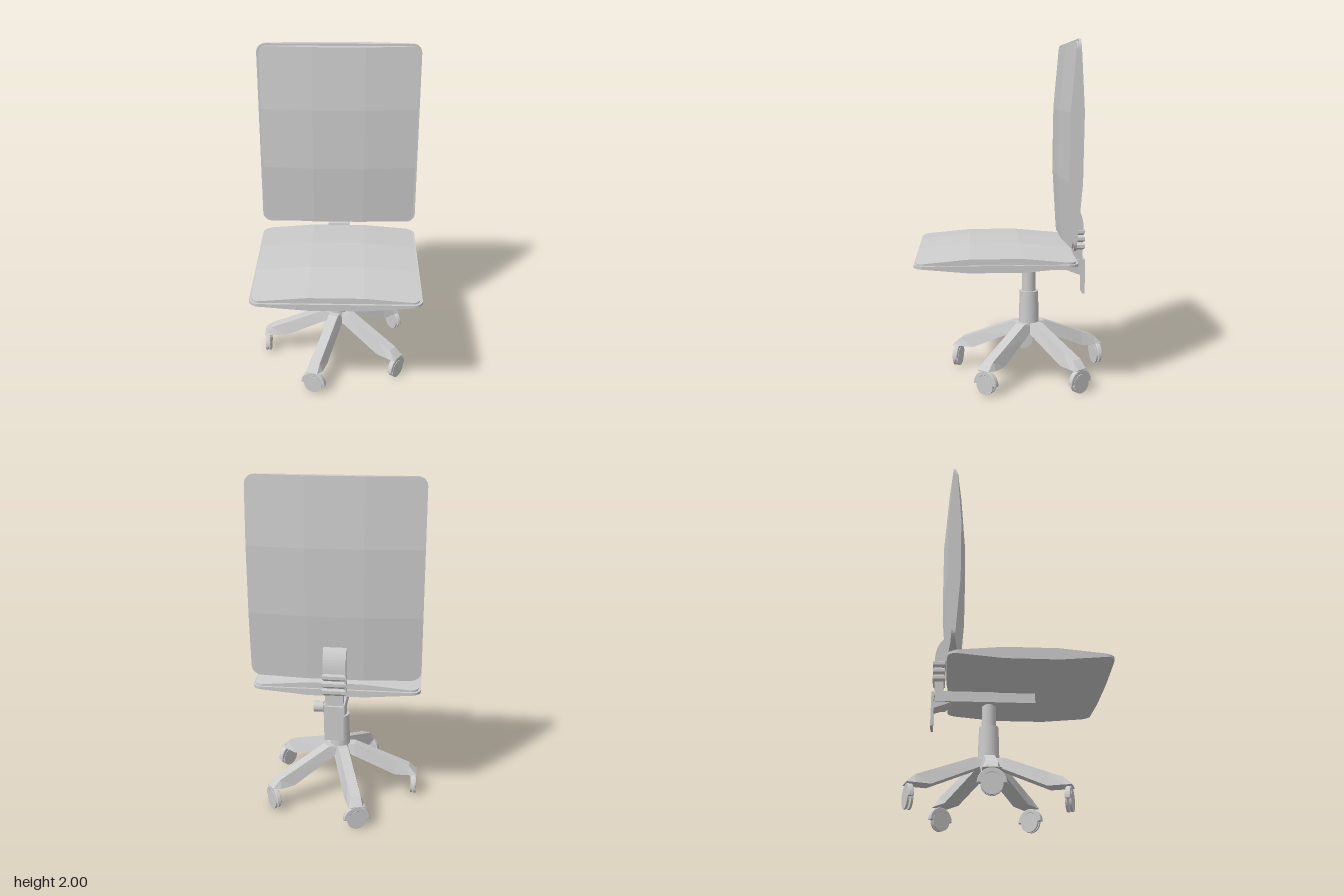
import * as THREE from 'three';

const smooth = new THREE.MeshStandardMaterial({ color: 0xcccccc });
const flat = new THREE.MeshStandardMaterial({ color: 0xcccccc, flatShading: true });

function add(parent, name, geometry, material = smooth, x = 0, y = 0, z = 0) {
  const mesh = new THREE.Mesh(geometry, material);
  mesh.name = name;
  mesh.position.set(x, y, z);
  parent.add(mesh);
  return mesh;
}

// Closed solid through cross-sections (counter-clockwise [x, y] rings) along +z
function loft(sections) {
  const n = sections[0].pts.length, pos = [], idx = [];
  sections.forEach(s => s.pts.forEach(([x, y]) => pos.push(x, y, s.z)));
  for (let i = 0; i < sections.length - 1; i++) {
    for (let j = 0; j < n; j++) {
      const a = i * n + j, b = i * n + (j + 1) % n;
      idx.push(a, b, b + n, a, b + n, a + n);
    }
  }
  // End caps, zipped between the lower and upper half of the ring
  const last = (sections.length - 1) * n;
  for (let j = 0; j < n / 2 - 1; j++) {
    const a = j, b = j + 1, c = n - 2 - j, d = n - 1 - j;
    idx.push(a, c, b, a, d, c);
    idx.push(last + a, last + b, last + c, last + a, last + c, last + d);
  }
  const g = new THREE.BufferGeometry();
  g.setAttribute('position', new THREE.Float32BufferAttribute(pos, 3));
  g.setIndex(idx);
  const out = g.toNonIndexed();
  out.computeVertexNormals();
  return out;
}

// Rounded rectangle slab whose upper face bulges in thirds both ways
function padHalf(W, L, r, height) {
  const rise = 0.0275, steps = 8, rows = [];
  const drop = (t, size) => rise * Math.max(0, (Math.abs(t) / size - 1 / 3) * 1.5);
  for (let i = 0; i <= steps; i++) {
    const a = (i / steps) * Math.PI / 2;
    rows.push([-L + r - r * Math.cos(a), W - r + r * Math.sin(a)]);
  }
  rows.push([-L / 3, W]);
  const all = [...rows, ...rows.slice().reverse().map(([z, w]) => [-z, w])];
  return loft(all.map(([z, w]) => {
    const xs = [-w, -W / 3, W / 3, w];
    const top = x => height - drop(x, W) - drop(z, L);
    return { z, pts: [...xs.map(x => [x, 0]), ...xs.slice().reverse().map(x => [x, top(x)])] };
  }));
}

// Cushion on a shell, cushion facing up
function pad(name, L) {
  const g = new THREE.Group();
  g.name = name;
  add(g, name + 'Cushion', padHalf(0.47, L - 0.013, 0.045, 0.062), flat);
  add(g, name + 'Shell', padHalf(0.485, L, 0.055, 0.067), flat).rotation.z = Math.PI;
  return g;
}

// Side profile of [z, y] points, extruded across x
function sideProfile(shape, width) {
  const g = new THREE.ExtrudeGeometry(shape, { depth: width, bevelEnabled: false, curveSegments: 10 });
  return g.translate(0, 0, -width / 2).rotateY(-Math.PI / 2);
}

function caster() {
  const g = new THREE.Group();
  g.name = 'caster';
  const hood = new THREE.Shape();
  hood.absarc(0, 0, 0.073, 0, Math.PI, false);
  hood.absarc(0, 0, 0.054, Math.PI, 0, true);
  add(g, 'casterHood', new THREE.ExtrudeGeometry(hood, {
    depth: 0.018, bevelThickness: 0.006, bevelSize: 0.004, bevelSegments: 2, curveSegments: 16,
  }).translate(0, 0, -0.009));
  for (const s of [-1, 1]) {
    add(g, 'wheel', new THREE.CylinderGeometry(0.057, 0.057, 0.012, 28).rotateX(Math.PI / 2), smooth, 0, -0.006, s * 0.011);
  }
  return g;
}

function base() {
  const g = new THREE.Group();
  g.name = 'base';
  // [radius, bottom, top] of a leg from hub to tip
  const legGeo = loft([
    [0, 0.297, 0.325], [0.095, 0.254, 0.325], [0.345, 0.14, 0.224], [0.43, 0.14, 0.19], [0.478, 0.14, 0.146],
  ].map(([z, b, t]) => ({ z, pts: [[-0.05, b], [0.05, b], [0.03, t], [-0.03, t]] })));
  for (let i = 0; i < 5; i++) {
    const arm = new THREE.Group();
    arm.name = 'legWithCaster';
    arm.rotation.y = -Math.PI / 2 + i * Math.PI * 2 / 5;
    add(arm, 'leg', legGeo, flat);
    const c = caster();
    c.position.set(0, 0.064, 0.458);
    arm.add(c);
    g.add(arm);
  }
  // Gas lift column
  add(g, 'columnSleeve', new THREE.CylinderGeometry(0.056, 0.063, 0.24, 28), smooth, 0, 0.398, 0);
  add(g, 'columnPiston', new THREE.CylinderGeometry(0.041, 0.041, 0.14, 28), smooth, 0, 0.575, 0);
  add(g, 'columnTip', new THREE.CylinderGeometry(0.03, 0.03, 0.04, 28), smooth, 0, 0.65, 0);
  g.position.z = -0.095;
  return g;
}

function backSupport() {
  const g = new THREE.Group();
  g.name = 'backSupport';
  // Beam under the seat with a wedge at the rear
  add(g, 'seatBeam', new THREE.BoxGeometry(0.12, 0.062, 0.58), smooth, 0, 0.685, -0.12);
  const wedge = new THREE.Shape([[-0.31, 0.655], [-0.36, 0.635], [-0.415, 0.615], [-0.415, 0.655]].map(p => new THREE.Vector2(...p)));
  add(g, 'beamWedge', sideProfile(wedge, 0.1));
  add(g, 'hangingPlate', new THREE.BoxGeometry(0.11, 0.21, 0.015), smooth, 0, 0.61, -0.423);
  add(g, 'upright', new THREE.BoxGeometry(0.1, 0.24, 0.052), smooth, 0, 0.81, -0.388);
  // Bellows: three ridges tapering to both edges
  for (let i = 0; i < 3; i++) {
    const section = (w, d, y) => ({ z: y, pts: [[-w, -d], [w, -d], [w, d], [-w, d]] });
    const ridge = loft([section(0.055, 0.027, -0.021), section(0.068, 0.036, -0.009),
      section(0.068, 0.036, 0.009), section(0.055, 0.027, 0.021)]);
    add(g, 'bellowsRidge', ridge.rotateX(-Math.PI / 2), flat, 0, 0.80 + i * 0.044, -0.391);
  }
  // Curved cap joining the backrest
  const cap = new THREE.Shape();
  cap.moveTo(-0.35, 0.9);
  cap.lineTo(-0.35, 1.05);
  cap.lineTo(-0.365, 1.05);
  cap.quadraticCurveTo(-0.418, 1.0, -0.418, 0.9);
  cap.closePath();
  add(g, 'backCap', sideProfile(cap, 0.13));
  // Tension knob on the left side
  add(g, 'knobShaft', new THREE.CylinderGeometry(0.016, 0.016, 0.06, 16).rotateZ(Math.PI / 2), smooth, 0.07, 0.685, -0.365);
  add(g, 'knob', new THREE.CylinderGeometry(0.031, 0.031, 0.055, 24).rotateZ(Math.PI / 2), smooth, 0.092, 0.685, -0.365);
  return g;
}

export function createModel() {
  const model = new THREE.Group();
  model.name = 'officeChair';
  const seat = pad('seat', 0.455);
  seat.position.set(0, 0.78, 0.115);
  const back = pad('backrest', 0.575);
  back.position.set(0, 1.425, -0.316);
  back.rotation.x = Math.PI / 2 - 0.012;
  model.add(seat, back, backSupport(), base());
  return model;
}
